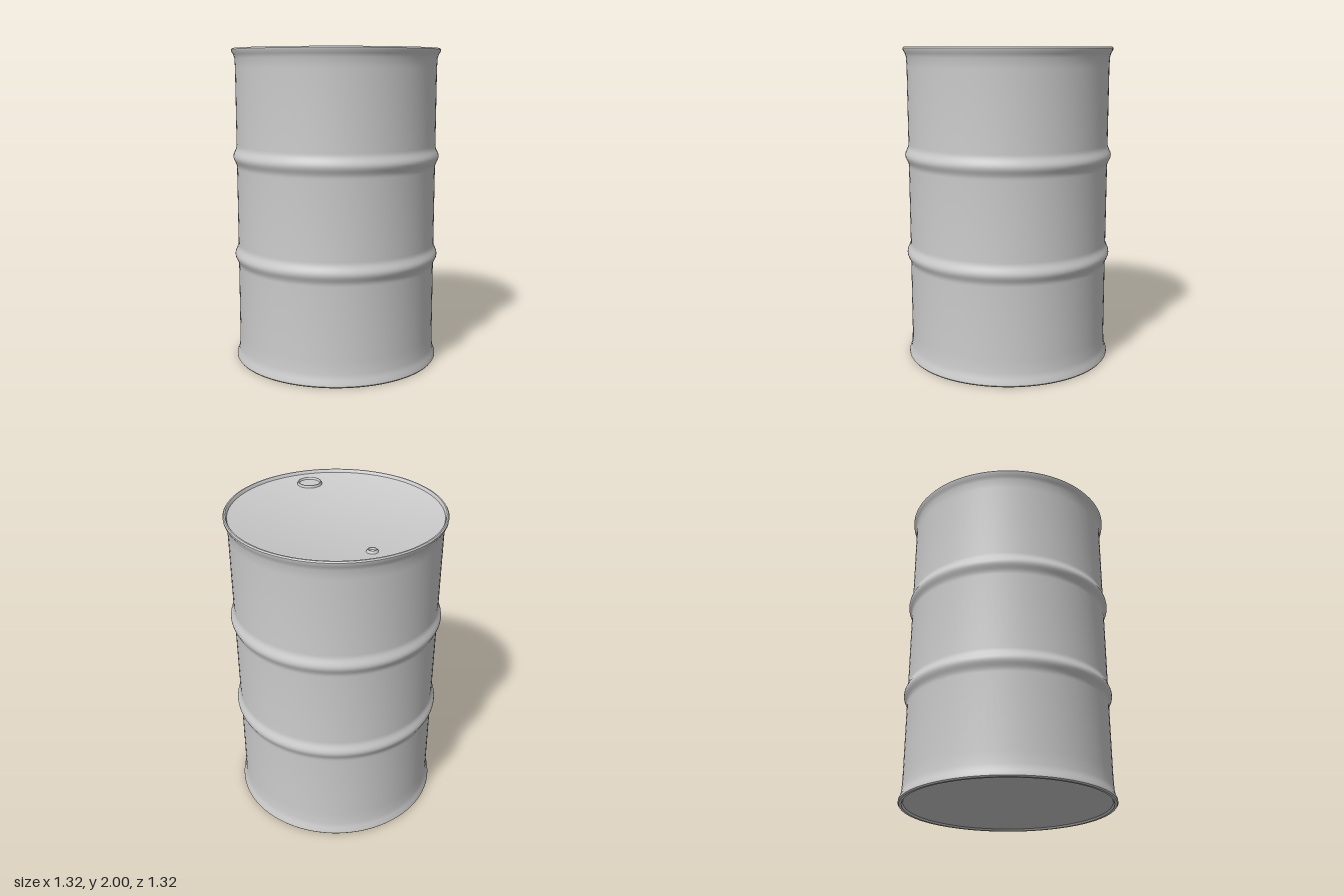
import * as THREE from 'three';
import { toCreasedNormals } from 'three/addons/utils/BufferGeometryUtils.js';

const material = new THREE.MeshStandardMaterial({ color: 0xcccccc });

// Turned part: profile runs from the bottom axis, up the outside, back to the axis
function turned(name, profile, segments, crease = 0.7) {
  const points = profile.map(([r, y]) => new THREE.Vector2(r, y));
  const geometry = toCreasedNormals(new THREE.LatheGeometry(points, segments), crease);
  const mesh = new THREE.Mesh(geometry, material);
  mesh.name = name;
  return mesh;
}

// Rolling hoop: a rounded bulge in the wall, centred at height y
function hoop(y) {
  const steps = 12, half = 0.075, points = [];
  for (let i = 0; i <= steps; i++) {
    const t = (i / steps) * 2 - 1;
    const bulge = Math.pow(0.5 + 0.5 * Math.cos(Math.PI * t), 1.3);
    points.push([0.638 + 0.022 * bulge, y + half * t]);
  }
  return points;
}

export function createModel() {
  const drum = new THREE.Group();
  drum.name = 'drum';

  // Wall with two hoops, flared chimes at both ends, flat base and sunken lid
  const lidY = 1.978;
  drum.add(turned('drumBody', [
    [0, 0.012], [0.63, 0.012], [0.638, 0],
    [0.654, 0], [0.66, 0.008], [0.659, 0.02], [0.648, 0.042], [0.642, 0.08], [0.639, 0.16],
    ...hoop(0.69), ...hoop(1.325),
    [0.638, 1.88], [0.641, 1.94], [0.648, 1.962], [0.659, 1.98], [0.66, 1.992],
    [0.654, 2], [0.646, 2], [0.641, 1.994], [0.637, 1.982], [0.625, lidY], [0, lidY],
  ], 96));

  // Large filler bung: raised ring around a shallow cap
  const bung = turned('fillerBung', [
    [0.079, -0.005], [0.077, 0.006], [0.073, 0.014], [0.068, 0.015],
    [0.064, 0.011], [0.062, 0.003], [0, 0.003],
  ], 40);
  bung.position.set(-0.035, lidY, 0.485);
  drum.add(bung);

  // Small vent plug: worn collar with a dished centre
  const vent = turned('ventPlug', [
    [0.036, -0.004], [0.031, 0.008], [0.026, 0.014], [0.021, 0.013], [0.016, 0.004], [0, 0.003],
  ], 10);
  vent.position.set(0.025, lidY, -0.53);
  drum.add(vent);

  return drum;
}
